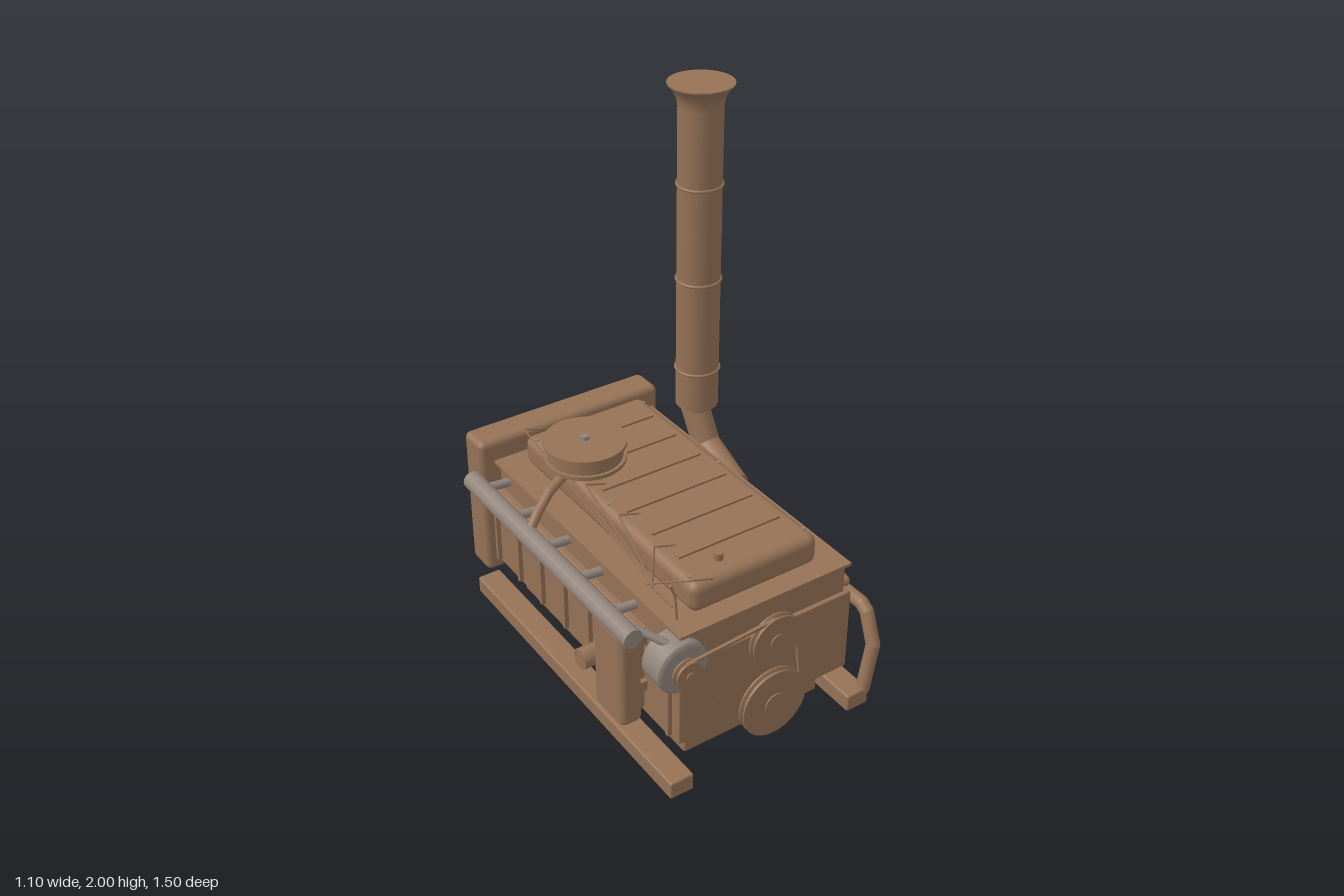
import * as THREE from 'three';
import { RoundedBoxGeometry } from 'three/addons/geometries/RoundedBoxGeometry.js';

export function createModel() {
  const root = new THREE.Group();
  root.name = 'dieselEngine';
  const paint = new THREE.MeshStandardMaterial({ name: 'brownPaint', color: 0x957256 });
  const metal = new THREE.MeshStandardMaterial({ name: 'greyMetal', color: 0x91847b });
  const CX = -0.03; // centre line of the block

  const add = (name, geo, x = 0, y = 0, z = 0, mat = paint, parent = root) => {
    const m = new THREE.Mesh(geo, mat);
    m.name = name;
    m.position.set(x, y, z);
    parent.add(m);
    return m;
  };
  // box from its limits; r rounds the edges
  const box = (name, [x0, x1], [y0, y1], [z0, z1], r = 0, mat = paint) => {
    const s = [x1 - x0, y1 - y0, z1 - z0];
    const g = r ? new RoundedBoxGeometry(...s, 4, r) : new THREE.BoxGeometry(...s);
    return add(name, g, (x0 + x1) / 2, (y0 + y1) / 2, (z0 + z1) / 2, mat);
  };
  // straight round bar between two points
  const rod = (name, a, b, r, mat = paint, parent = root, seg = 20) => {
    const A = new THREE.Vector3(...a), B = new THREE.Vector3(...b);
    const d = B.clone().sub(A);
    const m = add(name, new THREE.CylinderGeometry(r, r, d.length(), seg), 0, 0, 0, mat, parent);
    m.position.copy(A).add(B).multiplyScalar(0.5);
    m.quaternion.setFromUnitVectors(new THREE.Vector3(0, 1, 0), d.normalize());
    return m;
  };
  // bent pipe: bars with round joints
  const pipe = (name, pts, r, mat = paint, seg = 20) => {
    const g = new THREE.Group();
    g.name = name;
    root.add(g);
    for (let i = 0; i < pts.length - 1; i++) {
      rod(name + 'Length', pts[i], pts[i + 1], r, mat, g, seg);
      if (i) add(name + 'Joint', new THREE.SphereGeometry(r, seg, Math.ceil(seg / 2)), ...pts[i], mat, g);
    }
  };
  const lathe = (name, pts, x, y, z, mat = paint) =>
    add(name, new THREE.LatheGeometry(pts.map(p => new THREE.Vector2(...p)), 40), x, y, z, mat);

  // base rails, sump, block and head
  box('leftRail', [0.305, 0.4], [0.005, 0.075], [-0.61, 0.745], 0.008);
  box('rightRail', [-0.46, -0.365], [0.005, 0.075], [-0.61, 0.745], 0.008);
  box('sump', [CX - 0.29, CX + 0.29], [0.045, 0.18], [-0.48, 0.62], 0.008);
  box('block', [CX - 0.36, CX + 0.36], [0.175, 0.512], [-0.55, 0.69], 0.006);
  box('cylinderHead', [CX - 0.335, CX + 0.335], [0.51, 0.625], [-0.54, 0.675]);
  box('headFlange', [CX - 0.355, CX + 0.355], [0.62, 0.632], [-0.55, 0.685]);
  for (let i = 0; i < 8; i++) {
    const z = 0.64 - i * 0.1675;
    for (const s of [-1, 1])
      add('blockRib', new THREE.BoxGeometry(0.024, 0.3, 0.016), CX + s * 0.365, 0.34, z);
  }

  // valve cover with ribs, bolts and filler cap
  box('valveCover', [-0.29, 0.23], [0.63, 0.748], [-0.485, 0.62], 0.035);
  for (let i = 0; i < 6; i++)
    box('coverRib', [-0.24, 0.18], [0.745, 0.756], [-0.331 + i * 0.157, -0.319 + i * 0.157]);
  for (const x of [-0.265, 0.205])
    for (const z of [-0.425, 0.07, 0.56])
      add('coverBolt', new THREE.CylinderGeometry(0.007, 0.007, 0.016, 6), x, 0.744, z, metal);
  rod('fillerCap', [-0.13, 0.74, 0.535], [-0.13, 0.775, 0.535], 0.016);

  // flywheel housing and flywheel
  box('flywheelHousing', [-0.43, 0.37], [0.11, 0.7], [-0.705, -0.572], 0.025);
  const wheel = lathe('flywheel', [[0, 0], [0.19, 0], [0.19, 0], [0.19, 0.043], [0.183, 0.05], [0.183, 0.05], [0, 0.05]],
    CX, 0.345, -0.705);
  wheel.rotation.x = -Math.PI / 2;

  // air cleaner
  lathe('airCleaner', [[0, 0.775], [0.15, 0.775], [0.15, 0.775], [0.15, 0.79], [0.15, 0.79], [0.138, 0.79], [0.138, 0.79],
    [0.138, 0.84], [0.138, 0.84], [0.152, 0.84], [0.152, 0.84], [0.152, 0.855], [0.152, 0.855], [0, 0.855]], -0.2, 0, -0.19);
  rod('airCleanerPost', [-0.2, 0.74, -0.19], [-0.2, 0.78, -0.19], 0.06);
  add('wingNut', new THREE.CylinderGeometry(0.016, 0.016, 0.02, 6), -0.2, 0.86, -0.19, metal);
  pipe('intakePipe', [[-0.2, 0.775, -0.19], [-0.3, 0.763, -0.16], [-0.39, 0.738, -0.125], [-0.46, 0.695, -0.09], [-0.515, 0.635, -0.068]], 0.018);

  // intake manifold
  rod('intakeManifold', [-0.515, 0.635, -0.48], [-0.515, 0.635, 0.61], 0.036, metal);
  for (let i = 0; i < 5; i++) {
    const z = -0.48 + i * 0.2175;
    pipe('intakeRunner', [[-0.505, 0.63, z], [-0.45, 0.575, z], [-0.35, 0.565, z]], 0.017, metal);
  }

  // side canister and drain fitting
  box('oilCanister', [-0.532, -0.445], [0.215, 0.61], [0.38, 0.56], 0.025);
  for (const y of [0.3, 0.5]) box('canisterBracket', [-0.46, -0.38], [y - 0.02, y + 0.02], [0.44, 0.5]);
  rod('sideFitting', [-0.478, 0.24, 0.2], [-0.37, 0.24, 0.2], 0.04);

  // alternator, pulleys and belt
  const alternator = lathe('alternator', [[0, 0], [0.085, 0], [0.098, 0.013], [0.098, 0.013], [0.098, 0.107], [0.098, 0.107],
    [0.085, 0.12], [0, 0.12]], -0.385, 0.52, 0.595, metal);
  alternator.rotation.x = Math.PI / 2;
  rod('alternatorArm', [-0.41, 0.6, 0.66], [-0.49, 0.65, 0.58], 0.014, metal);
  const wheels = [
    { name: 'crankPulley', x: CX, y: 0.22, r: 0.133, hub: 0.042 },
    { name: 'fanPulley', x: CX, y: 0.492, r: 0.1, hub: 0.032 },
    { name: 'alternatorPulley', x: -0.385, y: 0.515, r: 0.052, hub: 0.016 },
  ];
  wheels.forEach((w, i) => {
    const R = w.r, G = R - 0.012;
    const p = lathe(w.name, [[0, 0], [R, 0], [R, 0], [R, 0.006], [R, 0.006], [G, 0.011], [G, 0.011], [G, 0.019], [G, 0.019],
      [R, 0.024], [R, 0.024], [R, 0.03], [R, 0.03], [0, 0.03]], w.x, w.y, 0.715);
    p.rotation.x = Math.PI / 2;
    rod(w.name + 'Shaft', [w.x, w.y, 0.66], [w.x, w.y, 0.75], w.hub);
    // outer tangent to the next pulley
    const n = wheels[(i + 1) % 3], dx = n.x - w.x, dy = n.y - w.y, L = Math.hypot(dx, dy);
    const k = (w.r - n.r) / L, q = Math.sqrt(1 - k * k);
    const nx = (dx * k + dy * q) / L, ny = (dy * k - dx * q) / L;
    const ax = w.x + nx * G, ay = w.y + ny * G, bx = n.x + nx * (n.r - 0.012), by = n.y + ny * (n.r - 0.012);
    const belt = add('belt', new THREE.BoxGeometry(Math.hypot(bx - ax, by - ay), 0.01, 0.012), (ax + bx) / 2, (ay + by) / 2, 0.73);
    belt.rotation.z = Math.atan2(by - ay, bx - ax);
  });

  // exhaust manifold: collector, branches and front down pipe
  pipe('exhaustCollector', [[0.44, 0.37, -0.5], [0.44, 0.37, 0.63], [0.44, 0.35, 0.66], [0.432, 0.24, 0.715], [0.392, 0.055, 0.722]], 0.026);
  [[0.615, 0.4], [0.395, 0.27], [0.175, 0.12], [-0.045, 0], [-0.265, -0.15], [-0.485, -0.27]].forEach(([a, b]) =>
    pipe('exhaustBranch', [[0.3, 0.5, a], [0.36, 0.495, a], [0.39, 0.465, a + (b - a) * 0.25], [0.435, 0.38, b]], 0.021));
  rod('starterMotor', [0.355, 0.205, -0.475], [0.355, 0.205, -0.29], 0.045);

  // exhaust elbow and stack
  pipe('exhaustElbow', [[0.425, 0.455, -0.115], [0.442, 0.525, -0.335], [0.43, 0.675, -0.4]], 0.056, paint, 28);
  rod('elbowNeck', [0.43, 0.64, -0.388], [0.43, 0.72, -0.388], 0.05);
  lathe('exhaustStack', [[0, 0.7], [0.083, 0.7], [0.083, 0.7], [0.083, 1.91], [0.088, 1.945], [0.102, 1.975], [0.122, 1.995],
    [0.122, 1.995], [0.122, 2], [0.122, 2], [0, 2]], 0.43, 0, -0.388);
  for (const y of [0.86, 1.24, 1.62]) {
    const ring = add('stackRing', new THREE.TorusGeometry(0.084, 0.006, 8, 40), 0.43, y, -0.388);
    ring.rotation.x = Math.PI / 2;
  }

  // thin leads from a common point to each cylinder
  for (let i = 0; i < 6; i++) {
    const z = -0.48 + i * 0.218;
    pipe('lead', [[-0.325, 0.64, 0.55 - i * 0.03], [-0.29, 0.775, z], [-0.2, 0.745, z]], 0.0035, paint, 6);
  }
  pipe('breatherLead', [[-0.34, 0.63, 0.6], [-0.355, 0.74, 0.61], [-0.38, 0.8, 0.62]], 0.004, paint, 6);
  return root;
}
